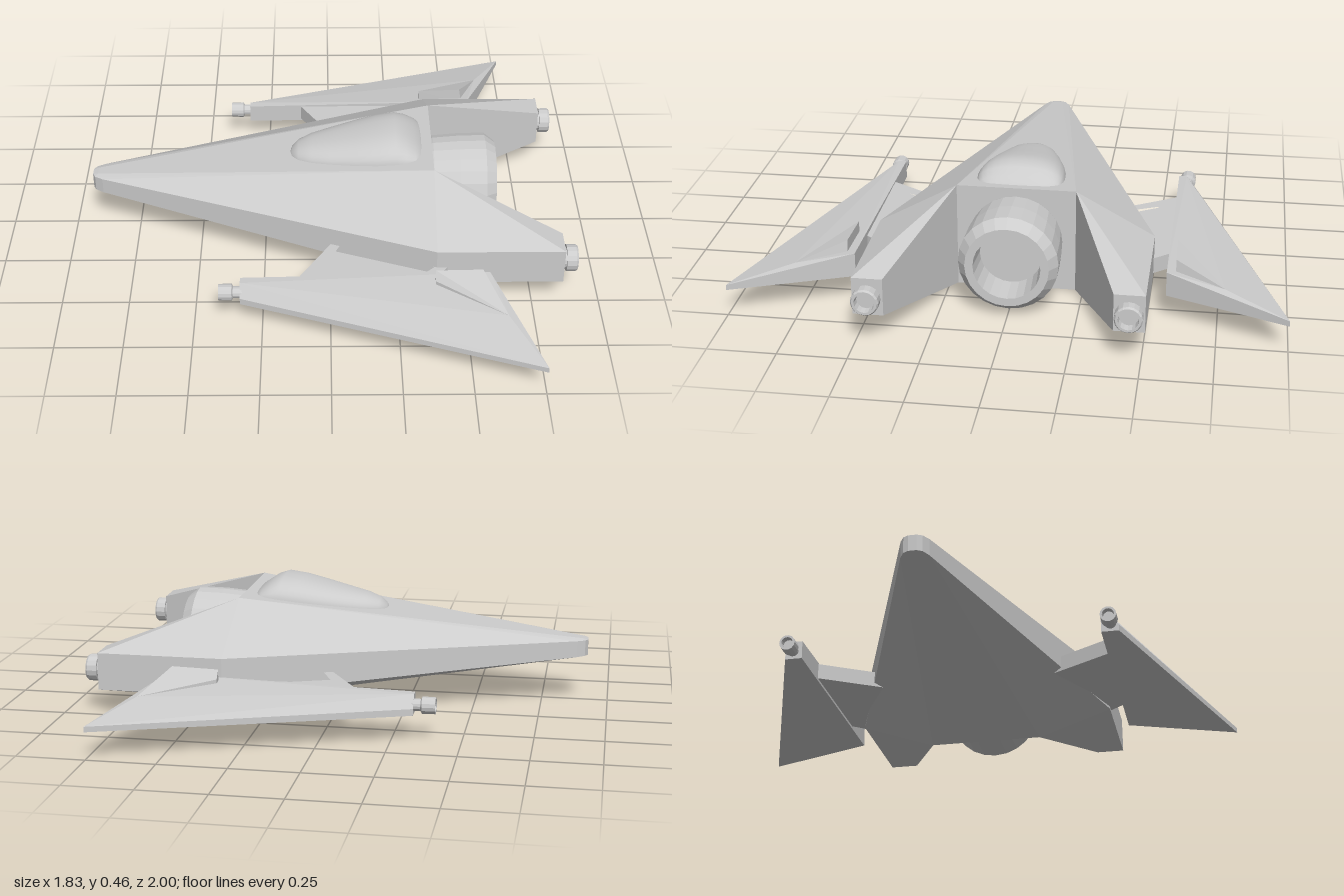
import * as THREE from 'three';
import { ConvexGeometry } from 'three/addons/geometries/ConvexGeometry.js';

const flat = new THREE.MeshStandardMaterial({ color: 0xcccccc, flatShading: true });
const flatOpen = new THREE.MeshStandardMaterial({ color: 0xcccccc, flatShading: true, side: THREE.DoubleSide });
const smoothOpen = new THREE.MeshStandardMaterial({ color: 0xcccccc, side: THREE.DoubleSide });

// Faceted solid around a few corner points
const solid = (pts) => new ConvexGeometry(pts.map((p) => new THREE.Vector3(...p)));

// Mirror a geometry across z = 0, keeping its faces outward
function mirrored(geo) {
  const g = geo.index ? geo.toNonIndexed() : geo.clone();
  g.scale(1, 1, -1);
  const p = g.attributes.position;
  const a = new THREE.Vector3(), b = new THREE.Vector3();
  for (let i = 0; i < p.count; i += 3) {
    a.fromBufferAttribute(p, i + 1);
    b.fromBufferAttribute(p, i + 2);
    p.setXYZ(i + 1, b.x, b.y, b.z);
    p.setXYZ(i + 2, a.x, a.y, a.z);
  }
  g.computeVertexNormals();
  return g;
}

// Turned part along x; profile is a list of [x, radius]
function turned(profile, sides, y, z) {
  const g = new THREE.LatheGeometry(profile.map(([x, r]) => new THREE.Vector2(r, x)), sides);
  g.rotateZ(-Math.PI / 2);
  g.translate(0, y, z);
  return g;
}

// Canopy bubble: rounded half sections at stations [x, half width, top y]
function canopyGeometry() {
  const stations = [
    [-0.155, 0.004, 0.325], [-0.145, 0.04, 0.348], [-0.12, 0.068, 0.37], [-0.07, 0.095, 0.388],
    [0, 0.118, 0.404], [0.1, 0.145, 0.428], [0.18, 0.16, 0.447], [0.25, 0.165, 0.456],
    [0.29, 0.163, 0.442], [0.325, 0.155, 0.418], [0.345, 0.135, 0.404], [0.355, 0.09, 0.39],
  ];
  const n = 16, pos = [], idx = [];
  stations.forEach(([x, w, top], s) => {
    const base = 0.315 + (x + 0.155) * 0.118;
    for (let i = 0; i <= n; i++) {
      const t = (i / n) * Math.PI, c = Math.cos(t);
      pos.push(x, base + (top - base) * Math.pow(Math.abs(Math.sin(t)), 0.8), w * Math.sign(c) * Math.pow(Math.abs(c), 0.85));
      if (s && i) {
        const d = s * (n + 1) + i, u = d - n - 1;
        idx.push(u - 1, d - 1, d, u - 1, d, u);
      }
    }
  });
  const g = new THREE.BufferGeometry();
  g.setAttribute('position', new THREE.Float32BufferAttribute(pos, 3));
  g.setIndex(idx);
  g.computeVertexNormals();
  return g;
}

// Flat plan outline in (x, z), raised from y0 to y1, with an optional hole
function plate(outline, y0, y1, hole) {
  const vec = (list) => list.map(([x, z]) => new THREE.Vector2(x, -z));
  const shape = new THREE.Shape(vec(outline));
  if (hole) shape.holes.push(new THREE.Path(vec(hole)));
  const g = new THREE.ExtrudeGeometry(shape, { depth: y1 - y0, bevelEnabled: false });
  g.rotateX(-Math.PI / 2);
  g.translate(0, y0, 0);
  return g;
}

export function createModel() {
  const model = new THREE.Group();
  model.name = 'spacecraft';
  const add = (name, geo, mat = flat) => {
    const m = new THREE.Mesh(geo, mat);
    m.name = name;
    model.add(m);
  };
  const addPair = (name, geo, mat = flat) => {
    add(name + 'Left', geo, mat);
    add(name + 'Right', mirrored(geo), mat);
  };

  // Wedge hull with rounded nose
  const hull = [];
  for (const s of [1, -1]) {
    hull.push([0.39, 0.4, 0.22 * s], [0.39, 0.24, 0.51 * s], [0.39, 0.1, 0.51 * s], [0.39, 0, 0.22 * s]);
    for (const [x, z] of [[-0.92, 0.015], [-0.91, 0.034], [-0.88, 0.051]]) {
      hull.push([x, 0.242, z * s], [x, 0.182 - (x + 0.92) * 0.06, z * s]);
    }
    hull.push([-0.9, 0.247, 0.02 * s]);
  }
  add('hull', solid(hull));

  add('canopy', canopyGeometry(), smoothOpen);

  // Hollow main engine
  add('mainEngine', turned([[0.38, 0.165], [0.4, 0.172], [0.5, 0.18], [0.6, 0.182], [0.64, 0.152],
    [0.64, 0.122], [0.52, 0.115], [0.52, 0]], 24, 0.2, 0), flatOpen);

  // Rear prongs and their thrusters
  addPair('rearProng', solid([
    [0.39, 0.4, 0.22], [0.39, 0, 0.22], [0.39, 0.24, 0.51], [0.39, 0.1, 0.51],
    [0.86, 0.24, 0.51], [0.86, 0.24, 0.4], [0.86, 0.1, 0.51], [0.86, 0.1, 0.4],
  ]));
  addPair('thruster', turned([[0.855, 0.04], [0.87, 0.04], [0.87, 0.05], [0.905, 0.05], [0.912, 0.045],
    [0.912, 0.036], [0.88, 0.034], [0.88, 0]], 16, 0.17, 0.455), flatOpen);

  // Pylons: a floor with a raised rim
  const outline = [[-0.12, 0.57], [0.05, 0.29], [0.42, 0.42], [0.43, 0.51], [0.38, 0.57]];
  addPair('pylonFloor', plate(outline, 0.11, 0.14));
  addPair('pylonRim', plate(outline, 0.14, 0.17, [[-0.02, 0.5], [0.04, 0.37], [0.35, 0.47], [0.38, 0.51], [0.335, 0.55]]));

  // Swept wings with a stepped upper surface
  addPair('wing', solid([
    [-0.33, 0.1, 0.565], [-0.33, 0.1, 0.63], [0.75, 0.1, 1], [0.58, 0.1, 0.565],
    [-0.33, 0.17, 0.565], [-0.33, 0.17, 0.595], [-0.33, 0.125, 0.63],
    [0.63, 0.165, 0.775], [0.75, 0.12, 1], [0.58, 0.192, 0.565],
  ]));
  addPair('wingFairing', solid([
    [0.38, 0.225, 0.595], [0.55, 0.23, 0.597], [0.63, 0.165, 0.775],
    [0.38, 0.17, 0.595], [0.38, 0.17, 0.62], [0.38, 0.195, 0.62], [0.56, 0.17, 0.597],
  ]));

  // Wing guns
  addPair('wingGun', turned([[-0.385, 0], [-0.385, 0.02], [-0.408, 0.022], [-0.408, 0.03], [-0.36, 0.031],
    [-0.355, 0.022], [-0.32, 0.022]], 14, 0.132, 0.6), flatOpen);

  return model;
}
